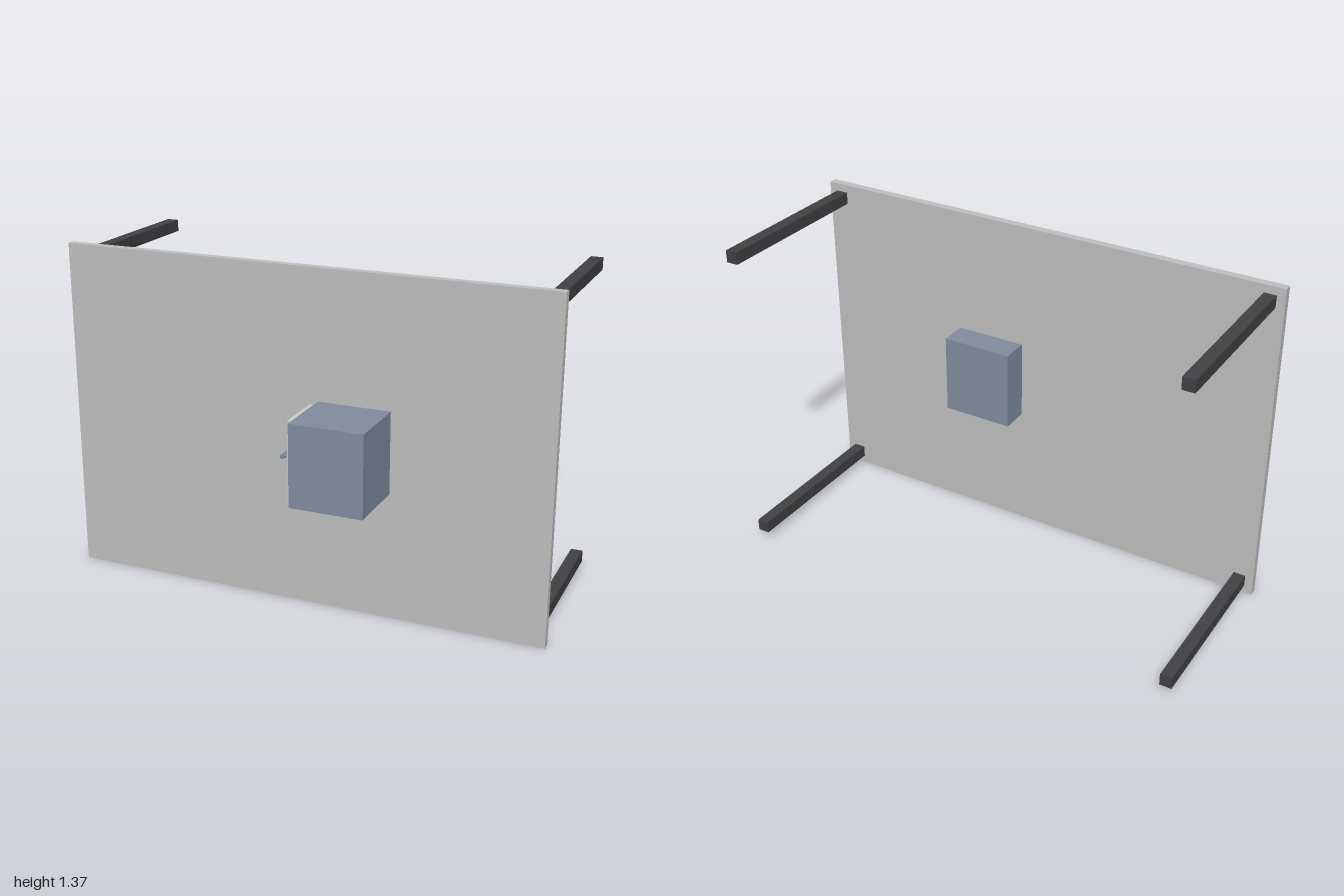
import * as THREE from 'three';

function material(name, color) {
  const m = new THREE.MeshStandardMaterial({ color });
  m.name = name;
  return m;
}

export function createModel() {
  const model = new THREE.Group();
  const topGrey = material('light grey', 0xbfbfbf);
  const frontGrey = material('pale grey', 0xcbcbcb);
  const steelBlue = material('steel blue', 0x808d9f);
  const charcoal = material('charcoal', 0x414145);

  const add = (name, geometry, mat, x, y, z) => {
    const mesh = new THREE.Mesh(geometry, mat);
    mesh.name = name;
    mesh.position.set(x, y, z);
    model.add(mesh);
    return mesh;
  };
  // Box given by its extents along each axis
  const slab = (name, mat, [x0, x1], [y0, y1], [z0, z1]) =>
    add(name, new THREE.BoxGeometry(x1 - x0, y1 - y0, z1 - z0), mat,
      (x0 + x1) / 2, (y0 + y1) / 2, (z0 + z1) / 2);

  // Upright tabletop
  slab('tableTop', topGrey, [-1, 1], [0, 1.368], [0.197, 0.23]);

  // Four legs pointing backwards
  for (const x of [-0.942, 0.942]) {
    for (const y of [0.059, 1.311]) {
      add('leg', new THREE.BoxGeometry(0.049, 0.049, 0.698), charcoal, x, y, -0.151);
    }
  }

  // Cabinet passing through the top, with a drawer front on its right side
  slab('cabinet', steelBlue, [0.075, 0.37], [0.521, 0.851], [0.083, 0.5]);
  slab('drawerFront', frontGrey, [0.06, 0.075], [0.521, 0.851], [0.269, 0.475]);

  // Pull handle: bar on two posts
  const bar = add('handleBar', new THREE.CylinderGeometry(0.009, 0.009, 0.106, 16), steelBlue, 0.014, 0.686, 0.37);
  bar.rotation.x = Math.PI / 2;
  for (const z of [0.332, 0.409]) {
    const post = add('handlePost', new THREE.CylinderGeometry(0.006, 0.006, 0.046, 12), steelBlue, 0.037, 0.686, z);
    post.rotation.z = Math.PI / 2;
  }
  return model;
}
